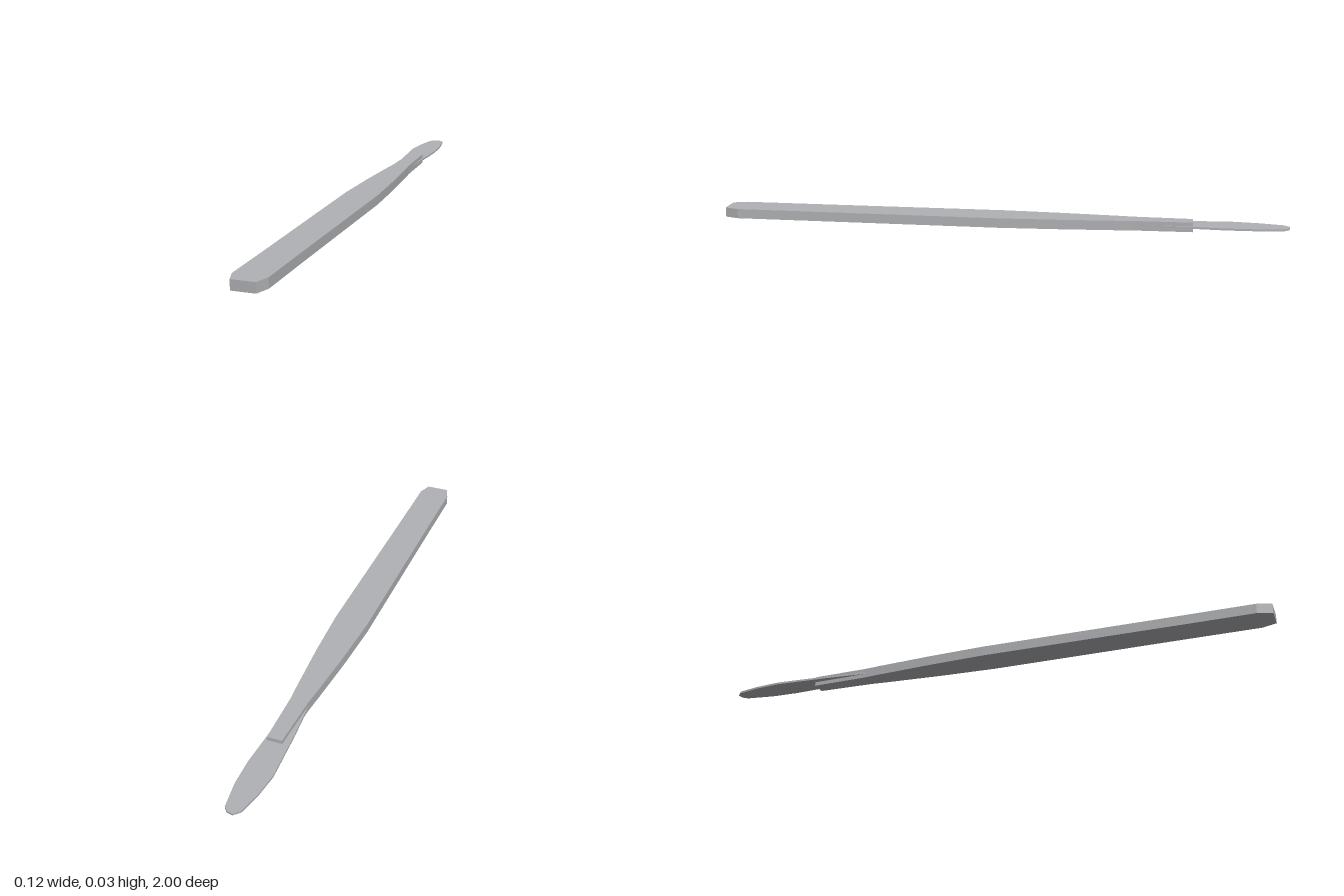
import * as THREE from 'three';

const steel = new THREE.MeshStandardMaterial({ color: 0xb0b1b4 });
steel.name = 'steel';

// Extrude a plan outline of [x, z] points upward from y0 to y1
function plate(name, points, y0, y1) {
  const shape = new THREE.Shape(points.map(([x, z]) => new THREE.Vector2(x, -z)));
  const geometry = new THREE.ExtrudeGeometry(shape, { depth: y1 - y0, bevelEnabled: false });
  geometry.rotateX(-Math.PI / 2);
  geometry.translate(0, y0, 0);
  const mesh = new THREE.Mesh(geometry, steel);
  mesh.name = name;
  return mesh;
}

export function createModel() {
  const group = new THREE.Group();
  group.name = 'scalpel';

  // Flat handle: chamfered butt, long body, tapered neck and narrow tang
  const side = [
    [0.04, 1], [0.057, 0.95], [0.057, 0.7], [0.06, 0],
    [0.051, -0.2], [0.037, -0.4], [0.031, -0.47], [0.026, -0.67],
  ];
  const mirrored = side.map(([x, z]) => [-x, z]).reverse();
  group.add(plate('handle', [...side, ...mirrored], 0, 0.034));

  // Thin blade held in the tang, fuller on the cutting side
  group.add(plate('blade', [
    [0.027, -0.46], [0.031, -0.56], [0.034, -0.66], [0.04, -0.78],
    [0.037, -0.88], [0.022, -0.98], [0.008, -0.996], [-0.012, -1],
    [-0.032, -0.98], [-0.049, -0.9], [-0.058, -0.81], [-0.046, -0.62],
    [-0.032, -0.47], [-0.027, -0.46],
  ], 0.014, 0.021));

  return group;
}
